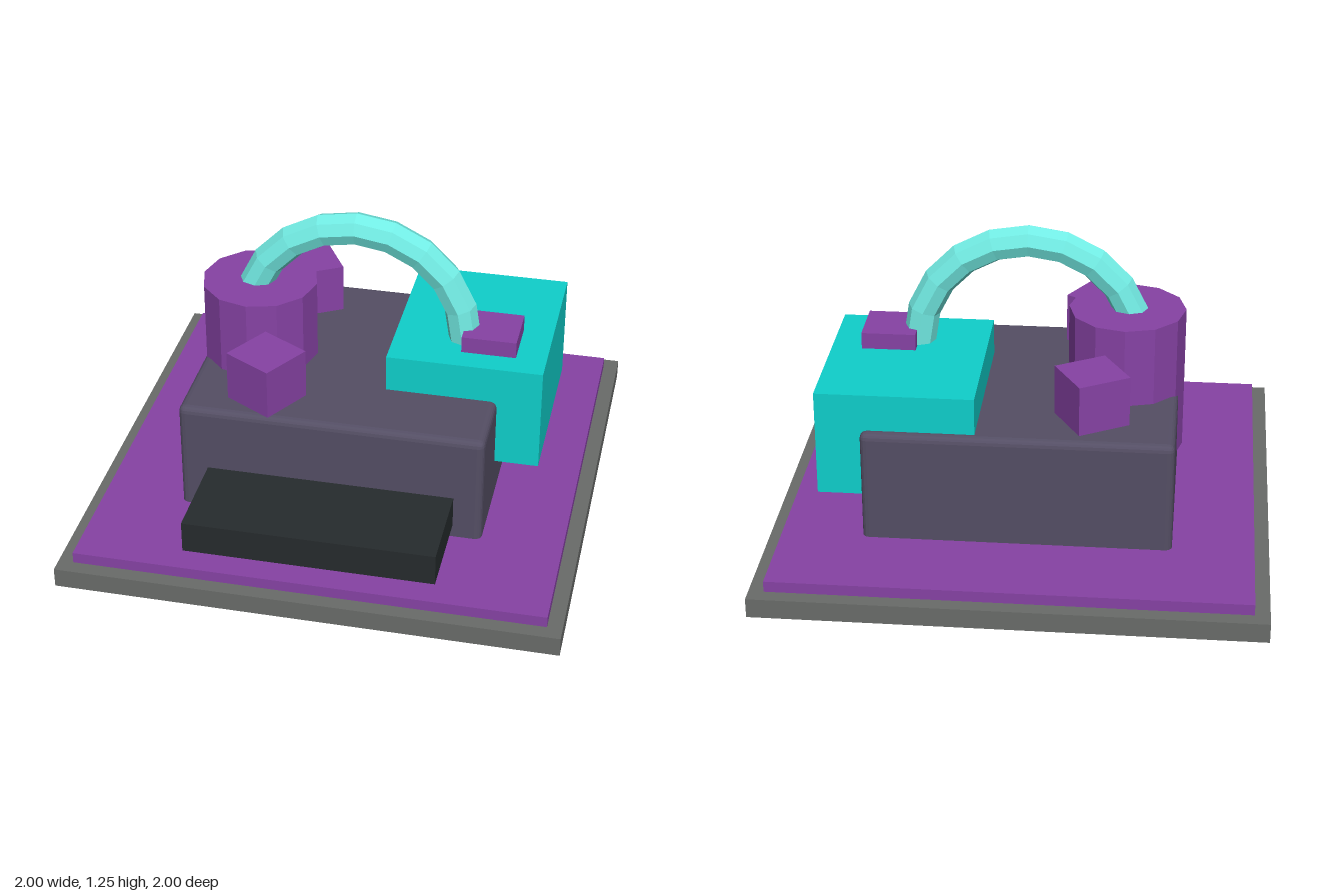
import * as THREE from 'three';
import { RoundedBoxGeometry } from 'three/addons/geometries/RoundedBoxGeometry.js';

const COLORS = {
  stone: 0x696b69, purple: 0x8642a4, slate: 0x544e64,
  dark: 0x262b2d, teal: 0x0fcfcb, aqua: 0x72ece4,
};

export function createModel() {
  const model = new THREE.Group();

  function add(name, geometry, color, x = 0, y = 0, z = 0) {
    const material = new THREE.MeshStandardMaterial({ color: COLORS[color], flatShading: true });
    const mesh = new THREE.Mesh(geometry, material);
    mesh.name = name;
    mesh.position.set(x, y, z);
    model.add(mesh);
    return mesh;
  }

  // Box given by its extents along each axis
  function box(name, color, [x0, x1], [y0, y1], [z0, z1], radius = 0) {
    const size = [x1 - x0, y1 - y0, z1 - z0];
    const geometry = radius
      ? new RoundedBoxGeometry(...size, 2, radius)
      : new THREE.BoxGeometry(...size);
    return add(name, geometry, color, (x0 + x1) / 2, (y0 + y1) / 2, (z0 + z1) / 2);
  }

  // Ground plates
  box('basePlate', 'stone', [-1, 1], [0, 0.08], [-1, 1]);
  box('groundLayer', 'purple', [-0.94, 0.94], [0.08, 0.125], [-0.94, 0.94]);

  // Main building with softened edges, and the front platform
  box('mainBody', 'slate', [-0.615, 0.615], [0.09, 0.583], [-0.57, 0.515], 0.028);
  box('frontPlatform', 'dark', [-0.5, 0.5], [0.18, 0.31], [0.4, 0.9]);

  // Side block with its cap
  box('sideBlock', 'teal', [0.165, 0.793], [0.3, 0.735], [-0.533, 0.212]);
  box('sideBlockCap', 'purple', [0.45, 0.67], [0.6, 0.803], [-0.11, 0.11]);

  // Twelve-sided tower
  add('tower', new THREE.CylinderGeometry(0.236, 0.236, 0.605, 12), 'purple', -0.4, 0.608, 0);

  // Mirrored turned cubes beside the tower
  for (const side of [-1, 1]) {
    const cube = add('roofCube', new THREE.BoxGeometry(0.22, 0.206, 0.22), 'purple',
      -0.282, 0.7, side * 0.382);
    cube.rotation.y = -side * Math.PI / 6;
  }

  // Arched pipe from the tower to the side block
  const arch = new THREE.TorusGeometry(0.447, 0.067, 8, 10, Math.PI);
  arch.rotateZ(0);
  add('archPipe', arch, 'aqua', 0, 0.738, 0);

  return model;
}
